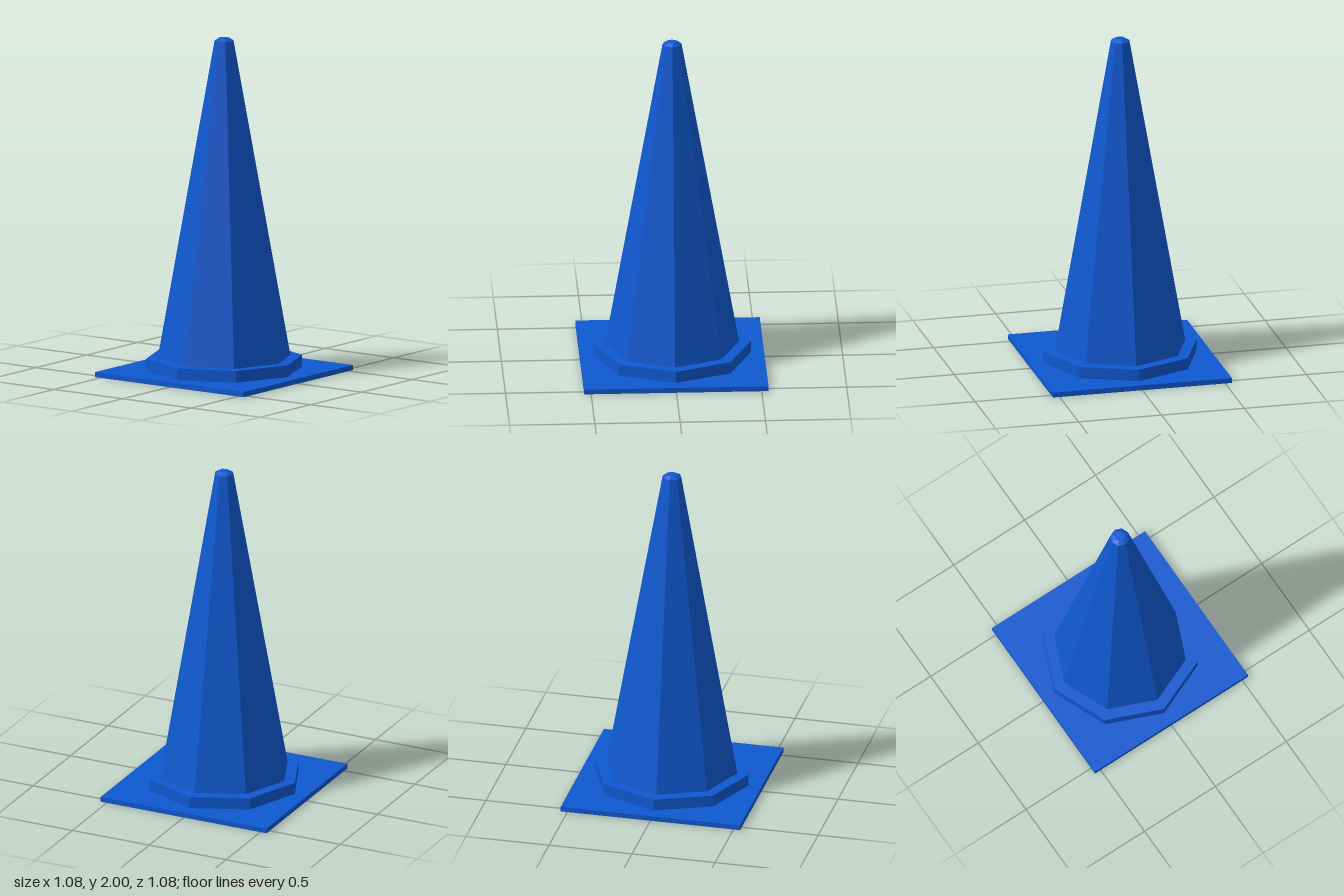
import * as THREE from 'three';

const SIDES = 8;

// Faceted eight-sided solid of revolution from [radius, height] pairs
function faceted(profile) {
  const points = profile.map(([r, y]) => new THREE.Vector2(r, y));
  const geometry = new THREE.LatheGeometry(points, SIDES).toNonIndexed();
  geometry.computeVertexNormals();
  return geometry;
}

export function createModel() {
  const group = new THREE.Group();
  const blue = new THREE.MeshStandardMaterial({ color: 0x0f58d0 });
  blue.name = 'blue';

  function add(name, geometry) {
    const mesh = new THREE.Mesh(geometry, blue);
    mesh.name = name;
    group.add(mesh);
  }

  // Square foot plate with an octagonal opening underneath
  const half = 0.54, opening = 0.37;
  const square = new THREE.Shape([
    new THREE.Vector2(-half, -half), new THREE.Vector2(half, -half),
    new THREE.Vector2(half, half), new THREE.Vector2(-half, half),
  ]);
  const hole = [];
  for (let i = 0; i < SIDES; i++) {
    const a = -i * Math.PI * 2 / SIDES;
    hole.push(new THREE.Vector2(Math.cos(a) * opening, Math.sin(a) * opening));
  }
  square.holes.push(new THREE.Path(hole));
  const plate = new THREE.ExtrudeGeometry(square, { depth: 0.03, bevelEnabled: false });
  plate.rotateX(-Math.PI / 2);
  add('footPlate', plate);

  // Octagonal collar around the foot of the cone
  add('collar', faceted([[0.462, 0.03], [0.462, 0.1], [0.39, 0.1]]));

  // Tapered body with a slightly domed tip
  add('coneBody', faceted([[0.393, 0.1], [0.056, 1.985], [0.03, 2], [0, 2]]));

  // Hollow inside, facing inward and open at the bottom
  add('coneInside', faceted([[0, 1.95], [0.025, 1.94], [opening, 0]]));

  return group;
}
